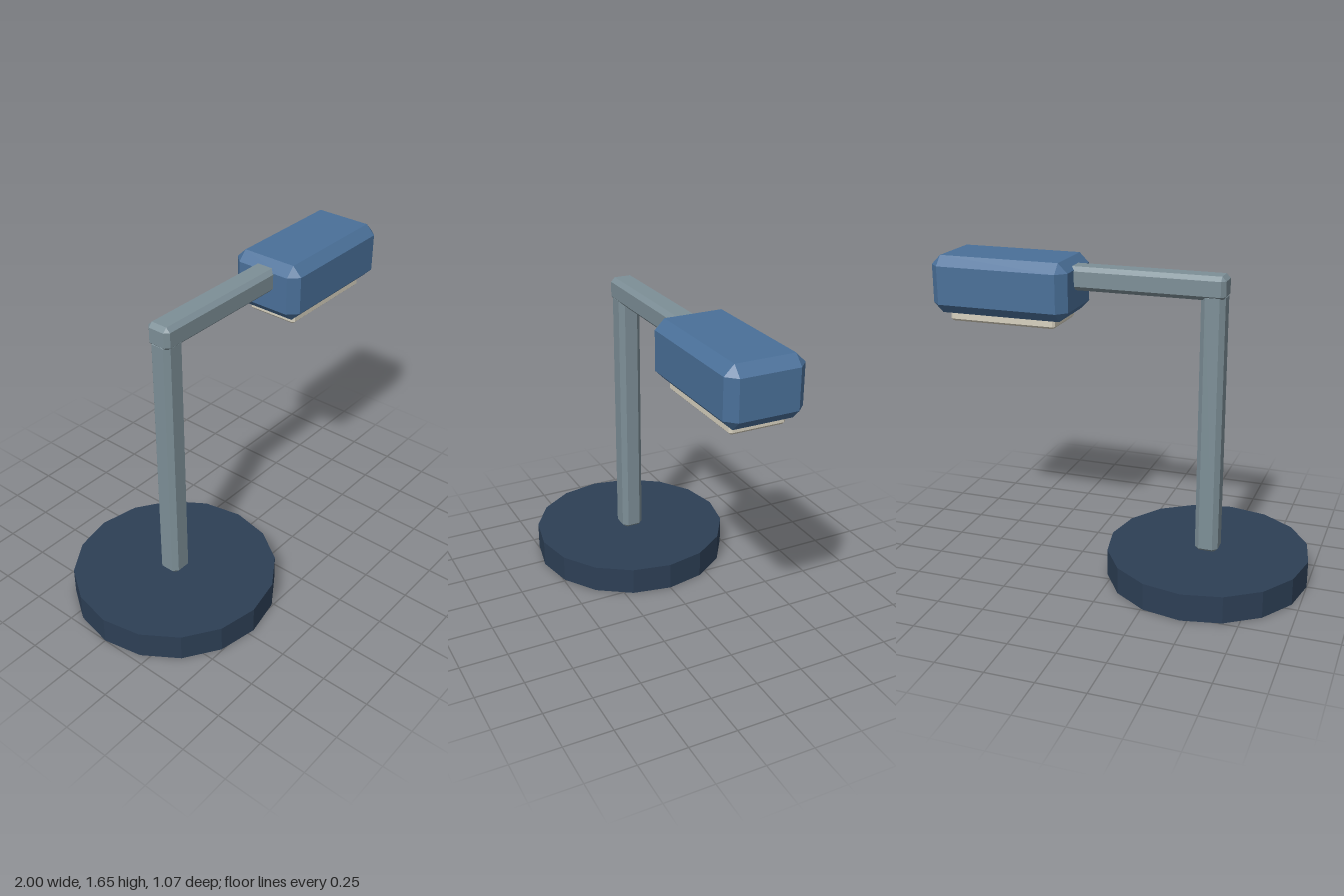
import * as THREE from 'three';
import { ConvexGeometry } from 'three/addons/geometries/ConvexGeometry.js';

const material = (color) => new THREE.MeshStandardMaterial({ color, flatShading: true });

// Box between two corners with every edge cut off by a chamfer c
function chamferBox([x0, y0, z0], [x1, y1, z1], c) {
  const half = [(x1 - x0) / 2, (y1 - y0) / 2, (z1 - z0) / 2];
  const points = [];
  for (const sx of [-1, 1]) for (const sy of [-1, 1]) for (const sz of [-1, 1]) {
    for (let axis = 0; axis < 3; axis++) {
      const [x, y, z] = half.map((h, i) => (i === axis ? h : h - c));
      points.push(new THREE.Vector3(sx * x, sy * y, sz * z));
    }
  }
  return new ConvexGeometry(points).translate((x0 + x1) / 2, (y0 + y1) / 2, (z0 + z1) / 2);
}

export function createModel() {
  const group = new THREE.Group();
  const add = (name, geometry, mat) => {
    const mesh = new THREE.Mesh(geometry, mat);
    mesh.name = name;
    group.add(mesh);
  };
  const metal = material(0x7d8f97);

  // Sixteen-sided foot
  add('base', new THREE.CylinderGeometry(0.535, 0.535, 0.145, 16).translate(-0.465, 0.0725, 0), material(0x2d3f55));

  // Upright and horizontal arm
  add('post', chamferBox([-0.527, 0.135, -0.06], [-0.403, 1.535, 0.06], 0.025), metal);
  add('arm', chamferBox([-0.53, 1.495, -0.066], [0.34, 1.617, 0.066], 0.022), metal);

  // Lamp housing with the light panel under it
  add('lampHead', chamferBox([0.25, 1.35, -0.2], [1, 1.65, 0.2], 0.05), material(0x4a7099));
  add('lightPanel', chamferBox([0.33, 1.305, -0.142], [0.915, 1.37, 0.142], 0.012), material(0xd8d2c0));

  return group;
}
